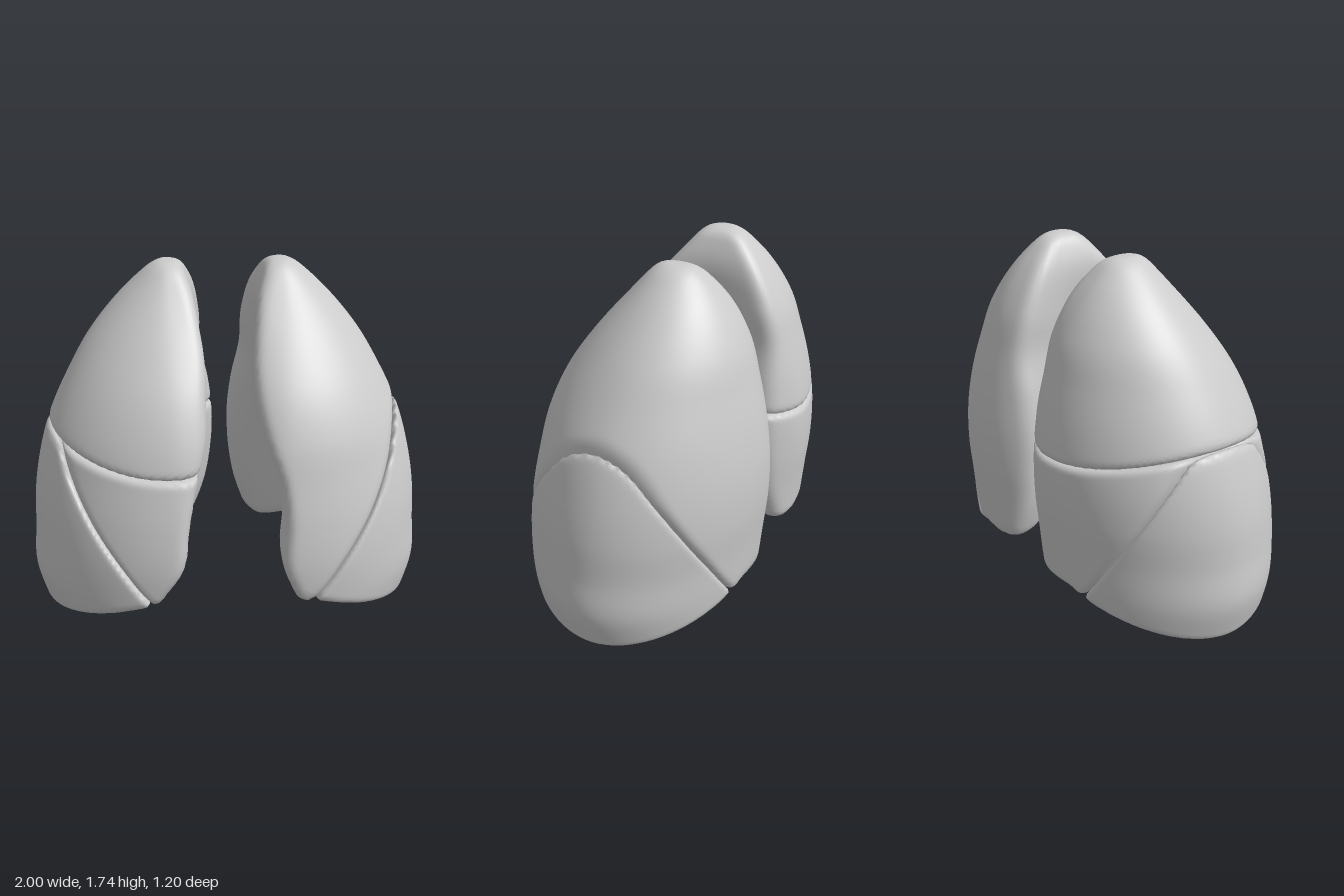
import * as THREE from 'three';
import { mergeVertices } from 'three/addons/utils/BufferGeometryUtils.js';

// Smooth curve through values given at y = 0, 0.2, 0.4 ... 1.8
function profile(...values) {
  const curve = new THREE.CubicInterpolant(values.map((_, i) => i * 0.2), values, 1, new Float32Array(1));
  return (y) => curve.evaluate(THREE.MathUtils.clamp(y, 0, 1.8))[0];
}

// Extents of the lung at each height (x counts outwards from the midline)
const outer = profile(0.95, 1.0, 0.99, 0.98, 0.945, 0.885, 0.79, 0.67, 0.5, 0.28);
const front = profile(0.57, 0.59, 0.6, 0.58, 0.54, 0.49, 0.4, 0.26, 0.09, -0.09);
const back = profile(-0.54, -0.56, -0.58, -0.6, -0.6, -0.575, -0.53, -0.47, -0.35, -0.16);

// Medial wall: back edge, hollow in the middle, front edge (one for each lung)
const medialBack = profile(0.22, 0.13, 0.055, 0.02, 0.015, 0.045, 0.095, 0.1, 0.14, 0.24);
const medialHollow = profile(0.4, 0.42, 0.41, 0.37, 0.31, 0.23, 0.18, 0.16, 0.16, 0.24);
const medialFront = {
  left: profile(0.34, 0.31, 0.24, 0.25, 0.23, 0.16, 0.115, 0.105, 0.14, 0.24),
  right: profile(0.42, 0.36, 0.24, 0.21, 0.17, 0.12, 0.11, 0.1, 0.14, 0.24),
};

// Fissures: slanted one beside the lower lobe, bowl-shaped one under the upper lobe
const slope = profile(0.26, 0.455, 0.6, 0.725, 0.81, 0.85, 0.89, 0.93, 0.97, 1.01);
const slanted = (y, z) => slope(y) - 0.1 * z;
const bowl = (x) => 0.85 + 0.33 * (x - 0.3) ** 2;
const GAP = 0.001;

// Maximum with a rounded transition: intersects two solids with a soft edge
function smoothMax(a, b, k) {
  const h = Math.max(k - Math.abs(a - b), 0) / k;
  return Math.max(a, b) + (h * h * k) / 4;
}

// Whole lung as a field, negative inside
function lung(x, y, z, side) {
  const zc = (front(y) + back(y)) / 2;
  const depth = Math.max((front(y) - back(y)) / 2, 0.01);
  const x0 = 0.28;
  const width = x > x0 ? Math.max(outer(y) - x0, 0.02) : 0.42;
  const p = 1.9;
  const r = (Math.abs((x - x0) / width) ** p + Math.abs((z - zc) / depth) ** p) ** (1 / p);
  let f = (r - 1) * depth;

  // hollowed medial wall
  const edge = THREE.MathUtils.lerp(medialBack(y), medialFront[side](y), THREE.MathUtils.smoothstep(z, -0.3, 0.1));
  const wall = THREE.MathUtils.lerp(edge, medialHollow(y), Math.exp(-(((z + 0.06) / 0.24) ** 2)));
  f = smoothMax(f, wall - x, 0.06);

  // arched underside with a sloping rim, and rounded apex
  const q = Math.max(0, 1 - ((x - 0.5) / 0.45) ** 2 - (z / 0.5) ** 2);
  const floor = 0.19 - 0.37 * Math.max(0, x - 0.4) + 0.15 * q ** 1.5;
  f = smoothMax(f, floor - y, 0.05);
  return smoothMax(f, y - 1.745, 0.05);
}

const medialOf = (x, y, z) => x - slanted(y, z) + GAP;
const lateralOf = (x, y, z) => slanted(y, z) + GAP - x;
const above = (x, y) => bowl(x) + GAP - y;
const below = (x, y) => y - bowl(x) + GAP;

const material = new THREE.MeshStandardMaterial({ color: 0xcccccc });

// Lobe: a sphere grown from an inner point out to the lung wall and its fissures
function lobe(name, side, centre, stretch, cuts) {
  const sign = side === 'left' ? 1 : -1;
  const field = (x, y, z) => cuts.reduce((f, cut) => smoothMax(f, cut(x, y, z), 0.035), lung(x, y, z, side));
  let geometry = new THREE.IcosahedronGeometry(1, 32);
  geometry.deleteAttribute('uv');
  geometry.deleteAttribute('normal');
  geometry = mergeVertices(geometry, 1e-5);
  const pos = geometry.attributes.position;
  const c = new THREE.Vector3(...centre);
  const s = new THREE.Vector3(...stretch);
  const d = new THREE.Vector3();
  for (let i = 0; i < pos.count; i++) {
    d.fromBufferAttribute(pos, i).multiply(s).normalize();
    d.x *= sign;
    const inside = (t) => field(c.x + d.x * t, c.y + d.y * t, c.z + d.z * t) < 0;
    let lo = 0;
    while (lo < 2 && inside(lo + 0.02)) lo += 0.02;
    let hi = lo + 0.02;
    for (let n = 0; n < 10; n++) {
      const mid = (lo + hi) / 2;
      if (inside(mid)) lo = mid;
      else hi = mid;
    }
    pos.setXYZ(i, sign * (c.x + d.x * lo), c.y + d.y * lo, c.z + d.z * lo);
  }
  geometry.computeVertexNormals();
  const mesh = new THREE.Mesh(geometry, material);
  mesh.name = name;
  return mesh;
}

export function createModel() {
  const model = new THREE.Group();
  model.name = 'lungs';

  // left lung: two lobes
  const left = new THREE.Group();
  left.name = 'leftLung';
  left.add(
    lobe('leftUpperLobe', 'left', [0.51, 0.8, -0.18], [0.4, 0.75, 0.6], [medialOf]),
    lobe('leftLowerLobe', 'left', [0.79, 0.38, 0], [0.4, 0.5, 0.6], [lateralOf]),
  );

  // right lung: three lobes
  const right = new THREE.Group();
  right.name = 'rightLung';
  right.add(
    lobe('rightUpperLobe', 'right', [0.42, 1.2, -0.1], [0.45, 0.5, 0.55], [above]),
    lobe('rightMiddleLobe', 'right', [0.52, 0.62, -0.2], [0.4, 0.4, 0.6], [medialOf, below]),
    lobe('rightLowerLobe', 'right', [0.79, 0.38, 0], [0.4, 0.5, 0.6], [lateralOf, below]),
  );

  model.add(left, right);
  return model;
}
